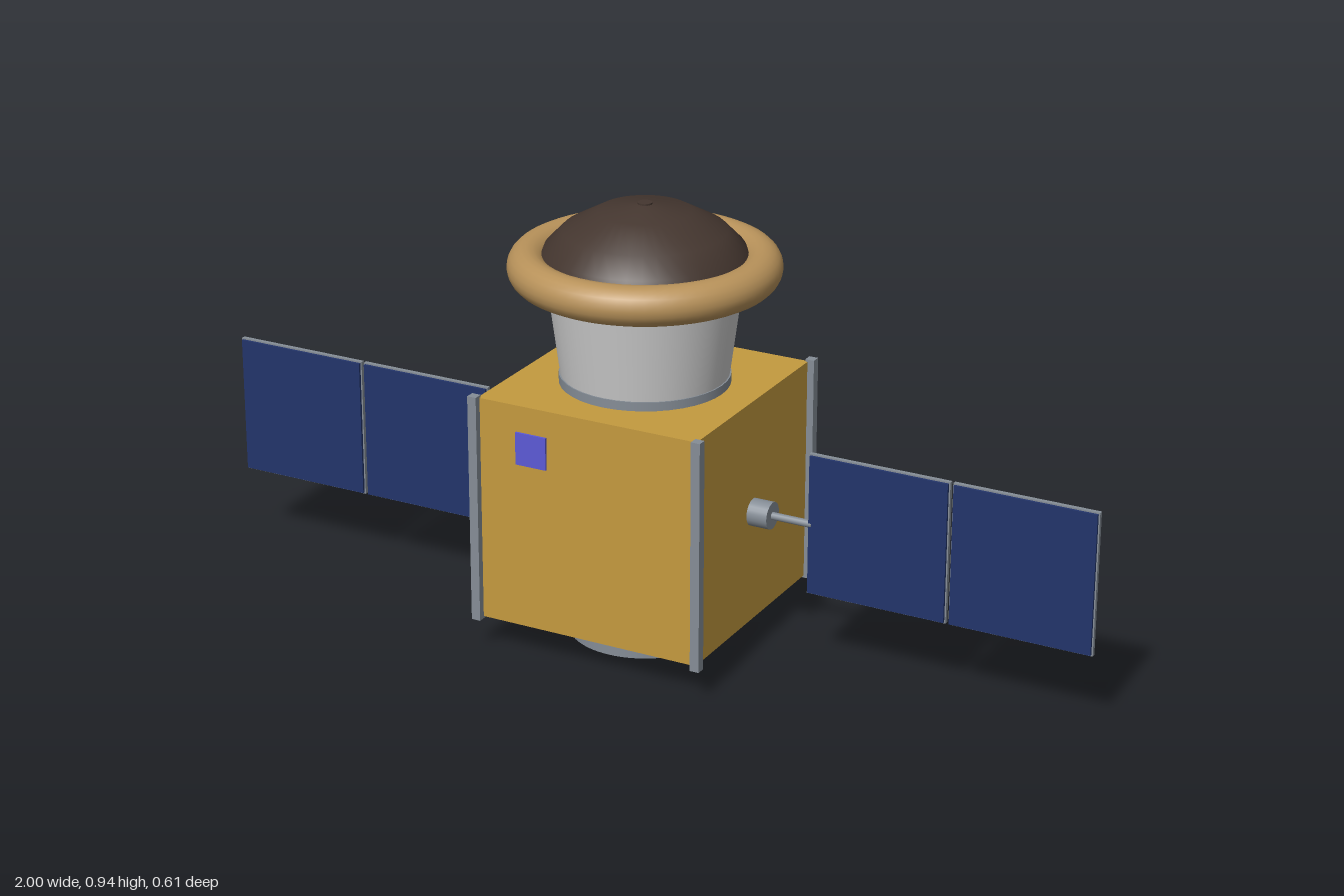
import * as THREE from 'three';

const mat = (color, side = THREE.FrontSide) => new THREE.MeshStandardMaterial({ color, side });
const gold = mat(0xc49a3f);
const metal = mat(0x858d96);
const bronze = mat(0xb8925a);
const dark = mat(0x44362f, THREE.DoubleSide);
const white = mat(0xd8d8dc);
const grey = mat(0xcccccc);
const navy = mat(0x22346a);
const violet = mat(0x5c5ad6);

export function createModel() {
  const model = new THREE.Group();
  model.name = 'satellite';
  const core = new THREE.Group(); // everything is centred on the body axis
  core.name = 'spacecraft';
  core.position.z = 0.025;
  model.add(core);

  const add = (name, geometry, material, x, y, z, parent = core) => {
    const mesh = new THREE.Mesh(geometry, material);
    mesh.name = name;
    mesh.position.set(x, y, z);
    parent.add(mesh);
    return mesh;
  };
  const box = (w, h, d) => new THREE.BoxGeometry(w, h, d);
  const rod = (r, h, n = 24) => new THREE.CylinderGeometry(r, r, h, n);

  // Body with corner rails
  add('body', box(0.5, 0.487, 0.5), gold, 0, 0.3135, 0);
  for (const sx of [-1, 1]) for (const sz of [-1, 1]) {
    add('cornerRail', box(0.02, 0.497, 0.02), metal, sx * 0.255, 0.3135, sz * 0.255);
  }

  // Front sensor window, rear radiator and rear tube
  add('sensorWindow', box(0.07, 0.07, 0.01), violet, -0.125, 0.465, 0.25);
  add('radiator', box(0.375, 0.37, 0.02), grey, 0, 0.292, -0.25);
  add('rearTube', rod(0.029, 0.09), metal, 0.122, 0.437, -0.282).rotation.x = Math.PI / 2;

  // Hollow docking ring below, with two separation pins
  const ring = new THREE.Shape().absarc(0, 0, 0.161, 0, Math.PI * 2, false);
  ring.holes.push(new THREE.Path().absarc(0, 0, 0.143, 0, Math.PI * 2, true));
  const ringGeo = new THREE.ExtrudeGeometry(ring, { depth: 0.072, bevelEnabled: false, curveSegments: 40 });
  ringGeo.rotateX(-Math.PI / 2);
  add('dockingRing', ringGeo, metal, 0, 0, 0);
  for (const s of [-1, 1]) add('separationPin', rod(0.016, 0.052, 16), metal, s * 0.115, 0.046, -s * 0.115);

  // Telescope: collar, flared barrel, rolled rim and dome
  add('collar', rod(0.177, 0.02, 40), metal, 0, 0.566, 0);
  add('barrel', new THREE.CylinderGeometry(0.205, 0.174, 0.235, 40), white, 0, 0.6925, 0);
  add('rim', new THREE.TorusGeometry(0.239, 0.041, 20, 64), bronze, 0, 0.805, 0).rotation.x = Math.PI / 2;
  const profile = [[0.225, 0.79], [0.205, 0.844], [0.168, 0.882], [0.095, 0.922], [0, 0.938]];
  add('dome', new THREE.LatheGeometry(profile.map(([r, y]) => new THREE.Vector2(r, y)), 40), dark, 0, 0, 0);
  add('domeCap', rod(0.015, 0.008, 16), dark, 0, 0.935, 0);

  // Solar wings: hub, boom and two panels on each side
  for (const s of [-1, 1]) {
    const wing = new THREE.Group();
    wing.name = s > 0 ? 'leftWing' : 'rightWing';
    wing.position.y = 0.313;
    core.add(wing);
    add('hub', rod(0.029, 0.05), metal, s * 0.27, 0, 0, wing).rotation.z = Math.PI / 2;
    add('boom', rod(0.008, 0.14, 16), metal, s * 0.315, 0, 0, wing).rotation.z = Math.PI / 2;
    for (const x of [0.5305, 0.8455]) {
      add('panelBacking', box(0.309, 0.308, 0.009), metal, s * x, 0, -0.003, wing);
      add('solarCells', box(0.303, 0.302, 0.006), navy, s * x, 0, 0.004, wing);
    }
  }
  return model;
}
